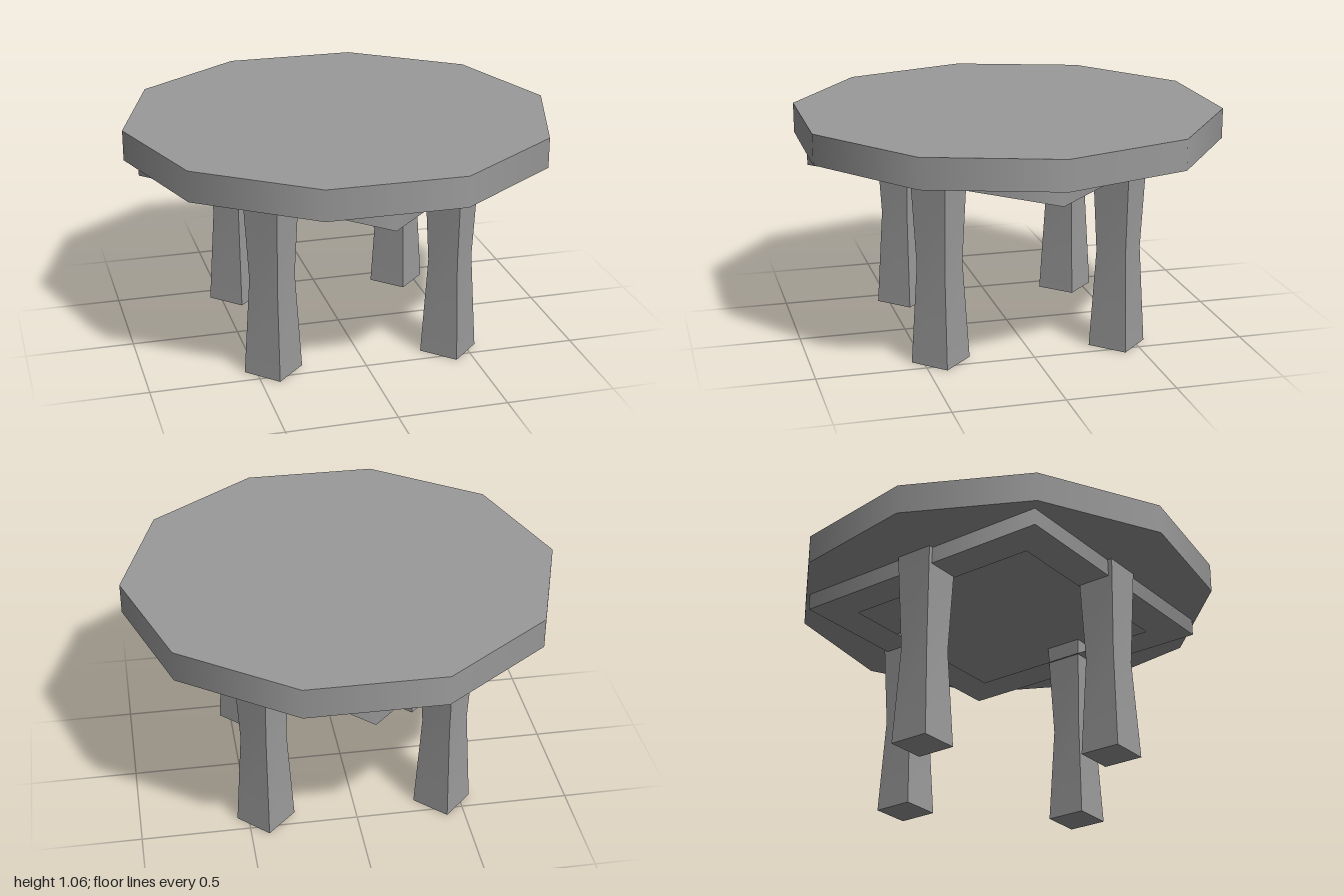
import * as THREE from 'three';
import { toCreasedNormals } from 'three/addons/utils/BufferGeometryUtils.js';

const TOP = 1.06, UNDERSIDE = 0.92, APRON_BOTTOM = 0.84;

// Square leg with its faces on the diagonals, pinched at half height
function legGeometry() {
  const foot = 0.134, waist = 0.104, head = 0.13;
  const geometry = new THREE.CylinderGeometry(1, 1, UNDERSIDE, 4, 2);
  geometry.translate(0, UNDERSIDE / 2, 0);
  const p = geometry.attributes.position;
  for (let i = 0; i < p.count; i++) {
    const t = p.getY(i) / UNDERSIDE;
    const r = t < 0.25 ? foot : t < 0.75 ? waist : head;
    p.setX(i, p.getX(i) * r);
    p.setZ(i, p.getZ(i) * r);
  }
  return toCreasedNormals(geometry, 0.6);
}

export function createModel() {
  const model = new THREE.Group();
  model.name = 'table';
  const material = new THREE.MeshStandardMaterial({ color: 0x9a9a9a });

  const add = (name, geometry, parent = model) => {
    const mesh = new THREE.Mesh(geometry, material);
    mesh.name = name;
    parent.add(mesh);
    return mesh;
  };

  // Ten-sided top with a smoothly shaded rim
  const top = new THREE.CylinderGeometry(1, 1, TOP - UNDERSIDE, 10);
  top.rotateY(Math.PI / 2);
  add('tabletop', top).position.y = (TOP + UNDERSIDE) / 2;

  // Diamond apron: outer wall and a flat frame underneath
  const apron = new THREE.Group();
  apron.name = 'apron';
  model.add(apron);
  const height = UNDERSIDE - APRON_BOTTOM;
  const wall = new THREE.CylinderGeometry(0.935, 0.935, height, 4, 1, true);
  add('apronWall', wall, apron).position.y = APRON_BOTTOM + height / 2;
  const frame = new THREE.RingGeometry(0.7, 0.935, 4, 1);
  frame.rotateX(Math.PI / 2);
  add('apronFrame', frame, apron).position.y = APRON_BOTTOM;

  // Four legs, one under each side of the apron
  const leg = legGeometry();
  for (const [end, z] of [['front', 0.418], ['back', -0.418]])
    for (const [side, x] of [['Left', 0.418], ['Right', -0.418]])
      add(end + side + 'Leg', leg).position.set(x, 0, z);

  return model;
}
